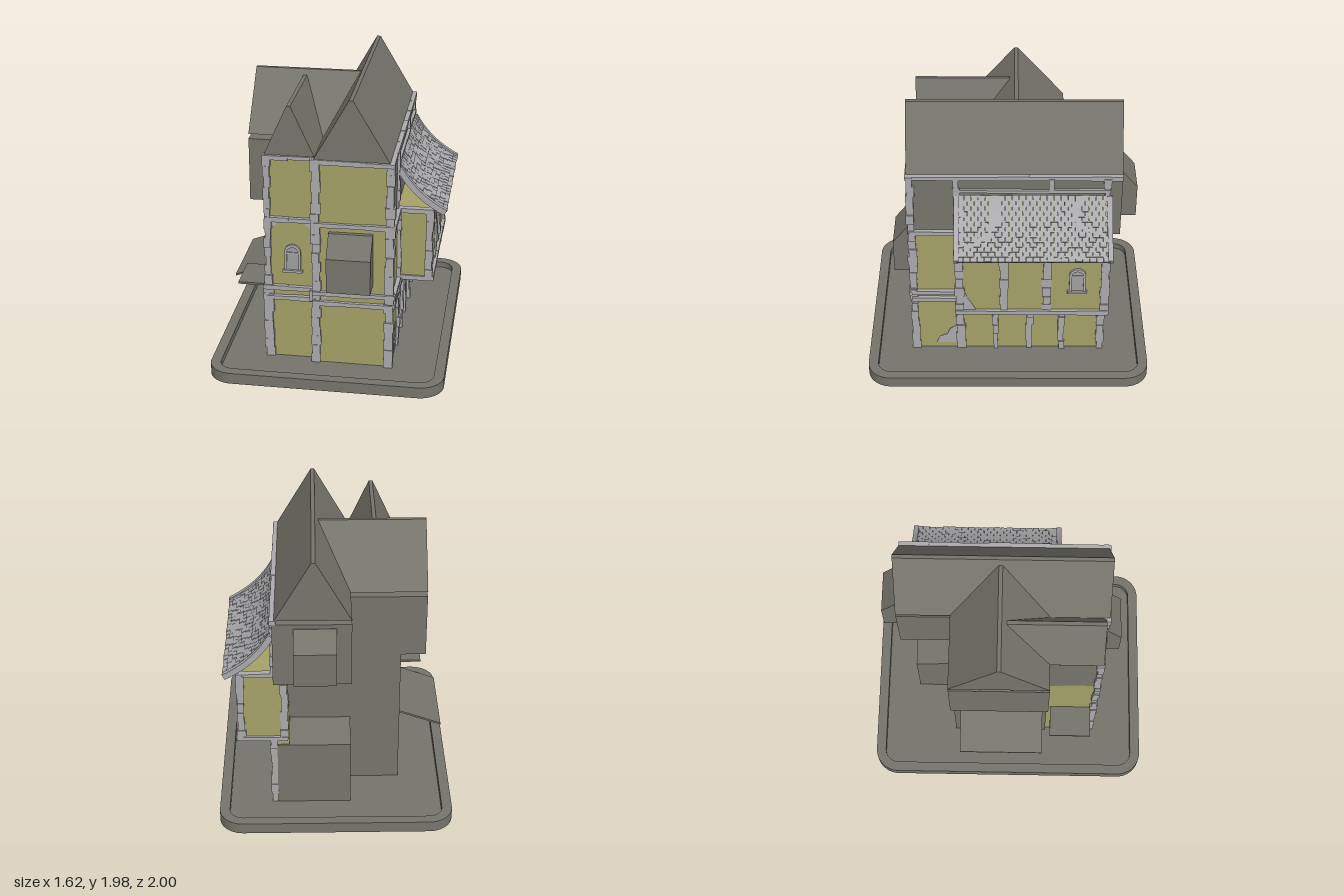
import * as THREE from 'three';
import { mergeGeometries } from 'three/addons/utils/BufferGeometryUtils.js';

const paint = (name, color) => {
  const m = new THREE.MeshStandardMaterial({ color });
  m.name = name;
  return m;
};

export function createModel() {
  const model = new THREE.Group();
  model.name = 'timberHouse';
  const slate = paint('darkGrey', 0x76756c);
  const plaster = paint('oliveYellow', 0xa5a268);
  const stone = paint('lightGrey', 0xababae);
  const pane = paint('paneGrey', 0xa0a0a4);

  let seed = 7;
  const rand = () => (seed = (seed * 16807) % 2147483647) / 2147483647;
  const jit = a => (rand() - 0.5) * 2 * a;

  const add = (name, geo, mat, parent = model) => {
    const m = new THREE.Mesh(geo, mat);
    m.name = name;
    parent.add(m);
    return m;
  };
  const boxGeo = (x0, x1, y0, y1, z0, z1) =>
    new THREE.BoxGeometry(x1 - x0, y1 - y0, z1 - z0)
      .translate((x0 + x1) / 2, (y0 + y1) / 2, (z0 + z1) / 2);
  const box = (name, mat, ...b) => add(name, boxGeo(...b), mat);
  const poly = pts => new THREE.Shape(pts.map(p => new THREE.Vector2(...p)));
  const extrude = (shape, depth) =>
    new THREE.ExtrudeGeometry(shape, { depth, bevelEnabled: false, curveSegments: 8 });
  // profile in (x, y) run along z, or profile in (z, y) run along x
  const runZ = (pts, z0, z1) => extrude(poly(pts), z1 - z0).translate(0, 0, z0);
  const runX = (pts, x0, x1) => extrude(poly(pts), x1 - x0).rotateY(-Math.PI / 2).translate(x1, 0, 0);

  // Row of uneven blocks along one axis (0 = x, 1 = y, 2 = z)
  const blocks = (name, axis, step, wobble, ...b) => {
    const lo = b[axis * 2], hi = b[axis * 2 + 1];
    const n = Math.max(1, Math.round((hi - lo) / step));
    const geos = [];
    for (let i = 0; i < n; i++) {
      const c = b.map((v, k) => (k >> 1 === axis ? v : v + (k % 2 ? 1 : -1) * (0.002 + jit(wobble))));
      c[axis * 2] = lo + (hi - lo) * i / n;
      c[axis * 2 + 1] = lo + (hi - lo) * (i + 1) / n;
      geos.push(boxGeo(...c));
    }
    return add(name, mergeGeometries(geos), stone);
  };
  const post = (x, z, y0, y1, w = 0.045, d = 0.04) =>
    blocks('post', 1, 0.075, 0.007, x - w / 2, x + w / 2, y0, y1, z - d / 2, z + d / 2);
  const beamX = (x0, x1, y, z, h = 0.026) =>
    blocks('beam', 0, 0.17, 0.003, x0, x1, y - h / 2, y + h / 2, z - 0.02, z + 0.02);
  const beamZ = (z0, z1, y, x, h = 0.026) =>
    blocks('beam', 2, 0.2, 0.003, x - 0.02, x + 0.02, y - h / 2, y + h / 2, z0, z1);

  // Base tray with raised rim
  const round = (cls, w, d, r) => {
    const s = new cls();
    s.moveTo(-w + r, -d).lineTo(w - r, -d).absarc(w - r, -d + r, r, -Math.PI / 2, 0, false);
    s.lineTo(w, d - r).absarc(w - r, d - r, r, 0, Math.PI / 2, false);
    s.lineTo(-w + r, d).absarc(-w + r, d - r, r, Math.PI / 2, Math.PI, false);
    s.lineTo(-w, -d + r).absarc(-w + r, -d + r, r, Math.PI, Math.PI * 1.5, false);
    return s;
  };
  add('baseFloor', extrude(round(THREE.Shape, 0.81, 1, 0.17), 0.035).rotateX(-Math.PI / 2), slate);
  const rim = round(THREE.Shape, 0.81, 1, 0.17);
  rim.holes.push(round(THREE.Path, 0.74, 0.93, 0.1));
  add('baseRim', extrude(rim, 0.045).rotateX(-Math.PI / 2).translate(0, 0.035, 0), slate);

  // Lower storeys
  box('wingCore', slate, -0.455, 0.33, 0.03, 1.07, -0.4, 0.28);
  box('frontLeftWalls', plaster, -0.435, -0.1, 0.03, 1.09, 0.2, 0.62);
  box('frontRightWalls', plaster, -0.11, 0.425, 0.03, 1.09, 0.2, 0.67);
  box('sideGroundWall', plaster, 0.32, 0.425, 0.03, 0.57, -0.68, 0.6);
  box('sideBay', plaster, 0.325, 0.66, 0.575, 1.09, -0.68, 0.35);
  add('backShed', runX([[-0.69, 0.03], [-0.35, 0.03], [-0.35, 0.56], [-0.69, 0.52]], -0.105, 0.405), slate);

  // Top storey
  box('mainTopStorey', slate, -0.105, 0.42, 1.07, 1.53, -0.77, 0.662);
  box('mainTopPanel', plaster, -0.1, 0.41, 1.09, 1.55, 0.662, 0.67);
  box('leftTopStorey', slate, -0.435, -0.1, 1.07, 1.53, 0.1, 0.612);
  box('leftTopPanel', plaster, -0.435, -0.1, 1.09, 1.55, 0.612, 0.62);
  box('wingTopStorey', slate, -0.625, -0.1, 1.07, 1.525, -0.4, 0.28);

  // Pitched roofs
  const gable = (a, b, peak, top) => [[a, 1.56], [b, 1.56], [peak + 0.013, top], [peak - 0.013, top]];
  add('mainRoof', runZ(gable(-0.105, 0.405, 0.145, 1.98), -0.77, 0.685), slate);
  add('frontLeftRoof', runZ(gable(-0.445, -0.105, -0.275, 1.905), -0.01, 0.64), slate);
  add('wingRoof', runX(gable(-0.4, 0.28, -0.057, 1.94), -0.625, 0.11), slate);

  // Projecting bays and canopies
  add('frontOriel', runX([[0.66, 0.65], [0.81, 0.65], [0.81, 0.9], [0.7, 1.04], [0.66, 1.04]], -0.005, 0.295), slate);
  add('backOriel', runX([[-0.75, 1.13], [-0.885, 1.13], [-0.885, 1.37], [-0.775, 1.5], [-0.75, 1.5]], -0.005, 0.28), slate);
  add('slopedCanopy', runZ([[-0.755, 0.445], [-0.44, 0.56], [-0.44, 0.575], [-0.755, 0.458]], -0.35, 0.25), slate);
  box('flatCanopy', slate, -0.655, -0.43, 0.565, 0.58, 0.305, 0.6);

  // Front posts and beams
  for (const [y0, y1] of [[0.03, 0.6], [0.6, 1.09], [1.09, 1.555]]) {
    post(-0.432, 0.62, y0, y1, y0 < 0.1 ? 0.058 : 0.04);
    post(-0.095, 0.665, y0, y1, 0.055);
    post(0.41, 0.665, y0, y1, 0.055, 0.05);
  }
  for (const y of [0.503, 0.578, 1.092, 1.543]) {
    const wide = y < 0.6 && y > 0.55 ? 0.02 : 0;
    beamX(-0.45 - wide, -0.12, y, 0.625);
    beamX(-0.12, 0.43 + wide, y, 0.672);
  }
  post(-0.12, 0.64, 0.5, 0.58, 0.035);
  beamX(0.43, 0.67, 1.092, 0.345);
  beamX(0.43, 0.68, 0.58, 0.345);
  beamX(0.33, 0.67, 1.092, -0.675);
  beamX(0.33, 0.68, 0.58, -0.675);

  // Side posts, ground floor then bay
  for (const [z, w] of [[0.34, 0.055], [0.09, 0.032], [-0.155, 0.045], [-0.385, 0.035], [-0.665, 0.05]])
    post(0.425, z, 0.03, 0.57, 0.04, w);
  for (const [z, w] of [[0.335, 0.055], [0.03, 0.05], [-0.265, 0.055], [-0.665, 0.055]]) {
    post(0.645, z, 0.575, 1.09, 0.05, w);
    box('joist', stone, 0.43, 0.66, 0.56, 0.585, z - 0.02, z + 0.02);
  }
  post(0.35, -0.67, 0.575, 1.09, 0.045);
  post(0.43, 0.345, 0.58, 1.09, 0.04);
  beamZ(-0.69, 0.68, 0.503, 0.43);
  beamZ(-0.69, 0.68, 0.565, 0.43);
  beamZ(0.36, 0.68, 1.092, 0.425);
  beamZ(-0.69, 0.36, 0.58, 0.66, 0.03);
  beamZ(-0.69, 0.36, 1.092, 0.655);

  // Top storey side framing
  beamZ(-0.77, 0.69, 1.543, 0.415);
  beamZ(-0.69, 0.35, 1.44, 0.42, 0.02);
  for (const z of [0.35, -0.67]) post(0.415, z, 1.09, 1.54, 0.04);
  post(0.415, -0.29, 1.44, 1.54, 0.035, 0.03);

  // Swept side roof: underlay, staggered tiles and end trims
  const sweep = new THREE.QuadraticBezierCurve(
    new THREE.Vector2(0.425, 1.4), new THREE.Vector2(0.53, 1.2), new THREE.Vector2(0.75, 1.085));
  const band = (lo, hi) => {
    const side = off => Array.from({ length: 13 }, (_, i) => {
      const p = sweep.getPoint(i / 12), t = sweep.getTangent(i / 12);
      return [p.x - t.y * off, p.y + t.x * off];
    });
    return [...side(lo), ...side(hi).reverse()];
  };
  add('sweptRoofUnderlay', runZ(band(-0.014, 0.002), -0.69, 0.35), plaster);
  const tiles = [], rows = 13, cols = 22, step = 1.03 / cols;
  for (let r = 0; r < rows; r++) {
    const u = (r + 0.5) / rows, p = sweep.getPointAt(u), t = sweep.getTangentAt(u);
    const angle = Math.atan2(t.y, t.x);
    for (let c = 0; c < cols; c++) {
      const shift = r % 2 && c < cols - 1 ? step / 2 : 0;
      const lift = 0.009 + jit(0.003);
      tiles.push(new THREE.BoxGeometry(0.044 + jit(0.004), 0.012, step - 0.003)
        .rotateZ(angle + 0.1)
        .translate(p.x - t.y * lift, p.y + t.x * lift, -0.685 + (c + 0.5) * step + shift));
    }
  }
  add('roofTiles', mergeGeometries(tiles), stone);
  for (const z of [-0.705, 0.33]) add('roofEndTrim', runZ(band(-0.016, 0.026), z, z + 0.035), stone);

  // Arched windows
  const arch = (cls, w, h) => {
    const s = new cls();
    s.moveTo(-w, 0).lineTo(w, 0).lineTo(w, h).absarc(0, h, w, 0, Math.PI, false);
    s.lineTo(-w, 0);
    return s;
  };
  const archedWindow = (x, y, z, turn) => {
    const g = new THREE.Group();
    g.name = 'archedWindow';
    const frame = arch(THREE.Shape, 0.056, 0.14);
    frame.holes.push(arch(THREE.Path, 0.04, 0.135));
    add('windowFrame', extrude(frame, 0.016), stone, g);
    add('windowPane', extrude(arch(THREE.Shape, 0.042, 0.135), 0.006), pane, g);
    add('windowBar', boxGeo(-0.042, 0.042, 0.125, 0.137, 0, 0.012), stone, g);
    add('windowSill', boxGeo(-0.068, 0.068, -0.012, 0.006, 0, 0.024), stone, g);
    g.position.set(x, y, z);
    g.rotation.y = turn;
    model.add(g);
  };
  archedWindow(-0.263, 0.71, 0.62, 0);
  archedWindow(0.66, 0.765, -0.475, Math.PI / 2);

  // Exposed stone patches where plaster has fallen
  const sidePatch = (x, pts) => add('stonePatch', runX(pts, x, x + 0.004), stone);
  sidePatch(0.425, [[0.52, 0.08], [0.49, 0.14], [0.44, 0.16], [0.42, 0.21], [0.36, 0.25], [0.36, 0.08]]);
  sidePatch(0.425, [[-0.49, 0.49], [-0.53, 0.44], [-0.58, 0.42], [-0.65, 0.39], [-0.65, 0.49]]);
  sidePatch(0.66, [[0.31, 0.59], [0.31, 0.79], [0.28, 0.7], [0.25, 0.65], [0.22, 0.59]]);
  const frontPatch = (z, pts) => add('stonePatch', runZ(pts, z, z + 0.004), stone);
  frontPatch(0.62, [[-0.415, 1.08], [-0.415, 1.01], [-0.35, 1.08]]);
  frontPatch(0.62, [[-0.2, 1.08], [-0.12, 1.01], [-0.12, 1.08]]);
  frontPatch(0.67, [[-0.07, 0.515], [-0.04, 0.515], [0, 0.565], [-0.03, 0.565]]);

  return model;
}
